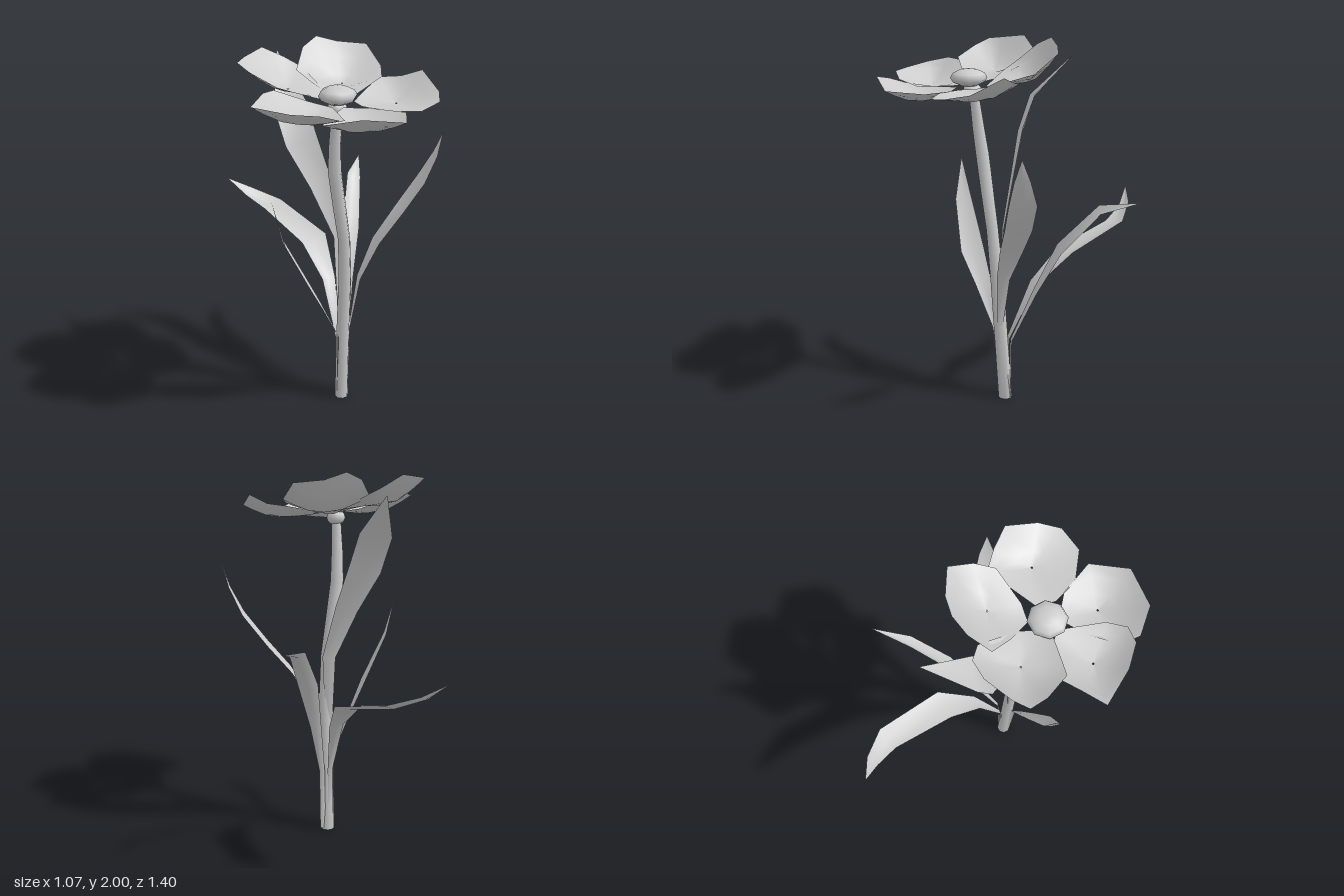
import * as THREE from 'three';

const material = new THREE.MeshStandardMaterial({ color: 0xcccccc, side: THREE.DoubleSide });
const V = (p) => new THREE.Vector3(p[0], p[1], p[2]);

function buildMesh(name, points, index) {
  const geometry = new THREE.BufferGeometry().setFromPoints(points);
  geometry.setIndex(index);
  geometry.computeVertexNormals();
  const mesh = new THREE.Mesh(geometry, material);
  mesh.name = name;
  return mesh;
}

// Joins rows of equal length into a skin
function gridIndex(rows, cols, closed) {
  const index = [];
  for (let r = 0; r < rows - 1; r++) {
    for (let c = 0; c < (closed ? cols : cols - 1); c++) {
      const a = r * cols + c, b = r * cols + (c + 1) % cols;
      index.push(a, a + cols, b, b, a + cols, b + cols);
    }
  }
  return index;
}

// Stem: stacked rings, each [x, y, z, radius]
function makeStem() {
  const rings = [
    [-0.012, 0.0, 0.06, 0.038], [-0.008, 0.4, 0.083, 0.037], [-0.002, 0.75, 0.105, 0.035],
    [-0.01, 1.0, 0.125, 0.032], [-0.04, 1.2, 0.148, 0.034], [-0.068, 1.4, 0.17, 0.035],
    [-0.07, 1.55, 0.19, 0.031], [-0.066, 1.72, 0.21, 0.025],
  ];
  const sides = 8, points = [];
  for (const [x, y, z, r] of rings) {
    for (let i = 0; i < sides; i++) {
      const a = (i / sides) * Math.PI * 2;
      points.push(new THREE.Vector3(x + r * Math.cos(a), y, z + r * Math.sin(a)));
    }
  }
  const index = gridIndex(rings.length, sides, true);
  for (let i = 1; i < sides - 1; i++) index.push(0, i, i + 1);
  return buildMesh('stem', points, index);
}

// Leaf: folded strip along stations [x, y, z, width]; "across" is the blade's width direction
function makeLeaf(name, stations, across, fold) {
  const points = [], centres = stations.map(V), side = V(across).normalize();
  stations.forEach((s, i) => {
    const tangent = centres[Math.min(i + 1, centres.length - 1)].clone()
      .sub(centres[Math.max(i - 1, 0)]).normalize();
    const w = side.clone().addScaledVector(tangent, -side.dot(tangent)).normalize();
    let n = w.clone().cross(tangent);
    if (n.y > 0) n.negate();
    const half = s[3] / 2;
    points.push(
      centres[i].clone().addScaledVector(w, -half),
      centres[i].clone().addScaledVector(n, s[3] * fold),
      centres[i].clone().addScaledVector(w, half),
    );
  });
  return buildMesh(name, points, gridIndex(stations.length, 3, false));
}

// Petal: cupped sheet spreading from a low centre to its rim
function makePetal(name, centre, rim) {
  const c = V(centre), n = rim.length, points = [];
  for (const [t, lift] of [[0.02, 0], [0.4, 0.16], [0.75, 0.6], [1, 1]]) {
    for (const p of rim) {
      const q = c.clone().lerp(V(p), t);
      q.y = c.y + (p[1] - c.y) * lift;
      points.push(q);
    }
  }
  return buildMesh(name, points, gridIndex(4, n, true));
}

export function createModel() {
  const flower = new THREE.Group();
  flower.name = 'flower';
  flower.add(makeStem());

  // Leaves
  const leaves = new THREE.Group();
  leaves.name = 'leaves';
  leaves.add(
    makeLeaf('lowBackLeaf', [
      [-0.03, 0.01, 0.04, 0.03], [-0.025, 0.36, 0.04, 0.03], [-0.05, 0.67, -0.1, 0.08],
      [-0.1, 0.84, -0.28, 0.16], [-0.29, 0.94, -0.59, 0.13], [-0.42, 1.0, -0.67, 0.07],
      [-0.53, 1.075, -0.7, 0.005]], [0.85, 0.12, -0.4], 0.12),
    makeLeaf('tallBackLeaf', [
      [-0.02, 0.4, 0.08, 0.02], [-0.02, 1.0, 0.07, 0.07], [-0.11, 1.28, 0.01, 0.12],
      [-0.2, 1.5, -0.04, 0.17], [-0.245, 1.68, -0.11, 0.17], [-0.27, 1.9, -0.345, 0.004]],
      [1, 0.1, 0], 0.1),
    makeLeaf('leftLeaf', [
      [0.02, 0.01, 0.05, 0.03], [0.025, 0.45, 0.09, 0.03], [0.08, 0.75, 0.075, 0.07],
      [0.18, 0.94, 0.04, 0.12], [0.31, 1.1, 0.015, 0.14], [0.43, 1.26, 0.005, 0.14],
      [0.5, 1.4, 0.015, 0.08], [0.535, 1.515, 0.02, 0.004]], [0, 0, 1], 0.08),
    makeLeaf('rightLeaf', [
      [-0.045, 0.01, 0.07, 0.03], [-0.04, 0.42, 0.11, 0.03], [-0.14, 0.65, 0.17, 0.09],
      [-0.22, 0.82, 0.225, 0.13], [-0.345, 1.08, 0.265, 0.09], [-0.4, 1.3, 0.27, 0.004]],
      [0, 0, 1], 0.08),
    makeLeaf('backLeaf', [
      [0.015, 0.01, 0.035, 0.03], [0.02, 0.36, 0.03, 0.03], [0.06, 0.67, -0.1, 0.06],
      [0.1, 0.92, -0.22, 0.1], [0.16, 1.15, -0.42, 0.08], [0.23, 1.2, -0.61, 0.004]],
      [1, -0.25, -0.1], 0.18),
  );
  flower.add(leaves);

  // Petals
  const petals = new THREE.Group();
  petals.name = 'petals';
  petals.add(
    makePetal('backPetal', [0.01, 1.79, -0.03], [
      [-0.05, 1.76, 0.15], [-0.15, 1.82, 0.06], [-0.22, 1.87, -0.03], [-0.17, 1.96, -0.13],
      [-0.09, 2.0, -0.19], [0.02, 1.965, -0.21], [0.17, 1.95, -0.19], [0.22, 1.86, -0.07],
      [0.2, 1.83, 0.03], [0.04, 1.77, 0.13]]),
    makePetal('leftPetal', [0.23, 1.74, 0.2], [
      [0.02, 1.76, 0.2], [0.1, 1.79, 0.1], [0.2, 1.82, -0.01], [0.3, 1.83, 0.03],
      [0.39, 1.87, 0.09], [0.43, 1.8, 0.25], [0.4, 1.78, 0.36], [0.29, 1.76, 0.43],
      [0.13, 1.76, 0.39], [0.04, 1.76, 0.29]]),
    makePetal('frontPetal', [0.0, 1.705, 0.48], [
      [-0.05, 1.76, 0.29], [0.08, 1.76, 0.33], [0.21, 1.77, 0.46], [0.16, 1.78, 0.65],
      [-0.05, 1.82, 0.7], [-0.18, 1.79, 0.64], [-0.2, 1.76, 0.55], [-0.13, 1.75, 0.4]]),
    makePetal('frontRightPetal', [-0.27, 1.735, 0.42], [
      [-0.1, 1.76, 0.28], [-0.085, 1.76, 0.5], [-0.13, 1.79, 0.59], [-0.22, 1.82, 0.61],
      [-0.34, 1.82, 0.56], [-0.5, 1.83, 0.44], [-0.43, 1.86, 0.33], [-0.37, 1.85, 0.25],
      [-0.2, 1.78, 0.23]]),
    makePetal('backRightPetal', [-0.28, 1.81, 0.09], [
      [-0.1, 1.77, 0.19], [-0.14, 1.79, 0.25], [-0.28, 1.84, 0.27], [-0.36, 1.87, 0.28],
      [-0.47, 1.92, 0.18], [-0.52, 1.95, 0.1], [-0.48, 1.96, 0.03], [-0.38, 1.98, -0.08],
      [-0.27, 1.92, -0.12], [-0.18, 1.87, -0.09], [-0.1, 1.79, 0.1]]),
  );
  flower.add(petals);

  // Flower centre and the bulb under it
  const ball = (name, r, x, y, z, squash) => {
    const mesh = new THREE.Mesh(new THREE.SphereGeometry(r, 8, 6), material);
    mesh.name = name;
    mesh.position.set(x, y, z);
    mesh.scale.y = squash;
    flower.add(mesh);
  };
  ball('flowerCentre', 0.095, -0.065, 1.805, 0.235, 0.48);
  ball('calyx', 0.05, -0.065, 1.735, 0.218, 0.85);
  return flower;
}
